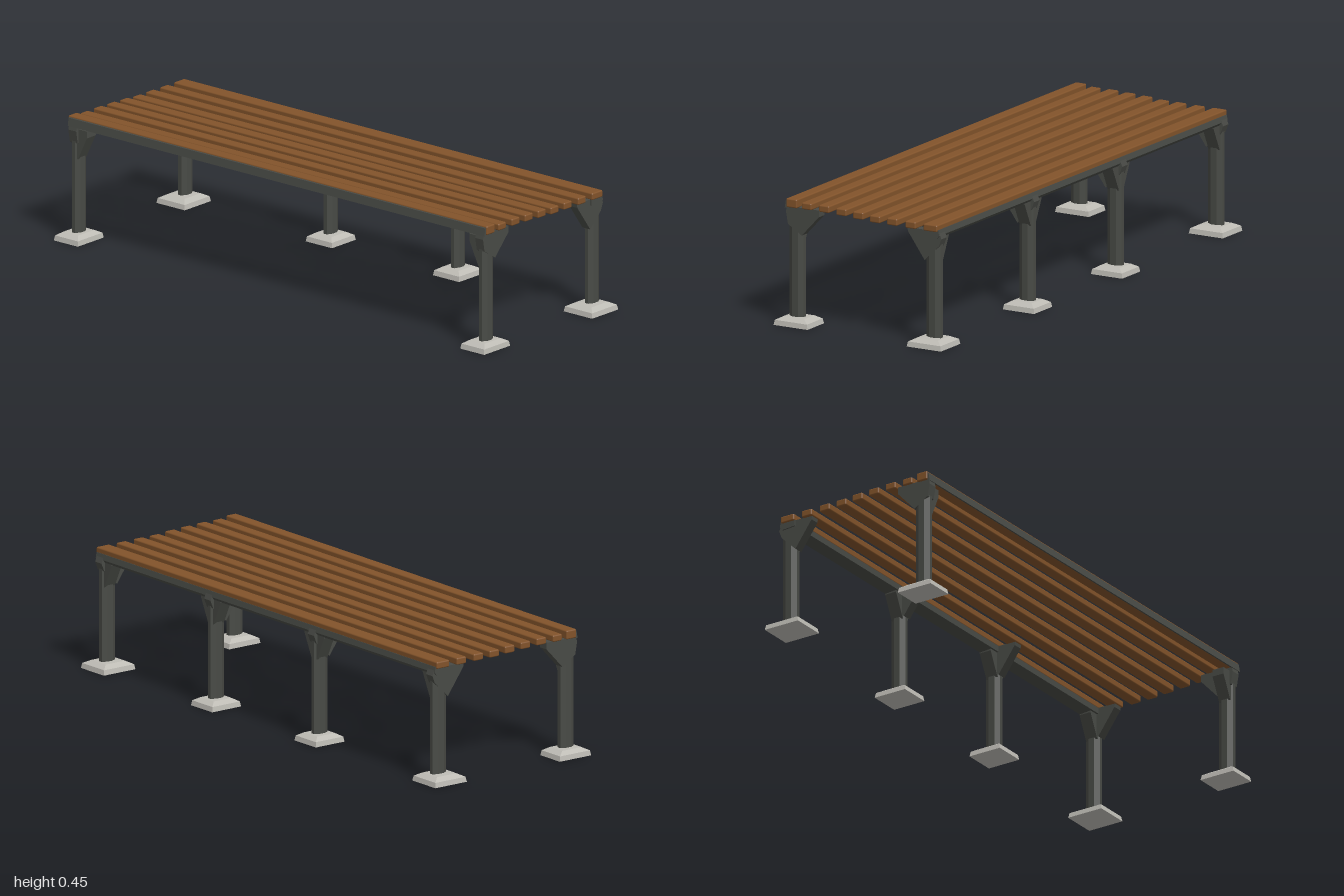
import * as THREE from 'three';
import { RoundedBoxGeometry } from 'three/addons/geometries/RoundedBoxGeometry.js';

const wood = new THREE.MeshStandardMaterial({ color: 0x82532a });
wood.name = 'brownWood';
const metal = new THREE.MeshStandardMaterial({ color: 0x484a45 });
metal.name = 'darkMetal';
const concrete = new THREE.MeshStandardMaterial({ color: 0xbdbbb4 });
concrete.name = 'paleConcrete';

// Gives every face its own flat normal
function facet(geometry) {
  const g = geometry.index ? geometry.toNonIndexed() : geometry;
  g.computeVertexNormals();
  return g;
}

function add(parent, name, geometry, material, x = 0, y = 0, z = 0) {
  const mesh = new THREE.Mesh(geometry, material);
  mesh.name = name;
  mesh.position.set(x, y, z);
  parent.add(mesh);
  return mesh;
}

// Upright plate, centred on its thickness
function plate(points, depth) {
  const shape = new THREE.Shape(points.map(([x, y]) => new THREE.Vector2(x, y)));
  return new THREE.ExtrudeGeometry(shape, { depth, bevelEnabled: false }).translate(0, 0, -depth / 2);
}

// Chamfered square footing, one unit wide
function footingGeometry() {
  const r = Math.SQRT1_2;
  const profile = [[0, 0], [r, 0], [r * 0.95, 0.018], [r * 0.62, 0.03], [0, 0.033]];
  return facet(new THREE.LatheGeometry(profile.map(([x, y]) => new THREE.Vector2(x, y)), 4, Math.PI / 4));
}

// Leg with its footing and brackets; side is the sign of x, flares lists the z directions
function buildLeg(name, side, z, footX, footZ, footW, footD, flares) {
  const leg = new THREE.Group();
  leg.name = name;
  const x = side * 0.28;

  add(leg, 'footing', footingGeometry(), concrete, footX, 0, footZ).scale.set(footW, 1, footD);

  const r = 0.5 / Math.cos(Math.PI / 8);
  const post = facet(new THREE.CylinderGeometry(r, r, 0.385, 8).rotateY(Math.PI / 8));
  add(leg, 'post', post, metal, x, 0.2175, z).scale.set(0.058, 1, 0.036);

  // Bracket reaching in under the slats
  const profile = side < 0
    ? [[-0.308, 0.36], [-0.252, 0.325], [-0.182, 0.4], [-0.182, 0.424], [-0.312, 0.424], [-0.316, 0.405]]
    : [[0.307, 0.36], [0.318, 0.388], [0.308, 0.414], [0.18, 0.414], [0.182, 0.4], [0.25, 0.305]];
  add(leg, 'crossBracket', plate(profile, 0.036), metal, 0, 0, z);

  // Gussets spreading along the bench
  for (const dir of flares) {
    const gusset = plate([[0, 0.3], [0.015, 0.3], [0.056, 0.385], [0.056, 0.41], [0, 0.41]], 0.046);
    add(leg, 'gusset', gusset, metal, x, 0, z).rotation.y = -dir * Math.PI / 2;
  }
  return leg;
}

export function createModel() {
  const bench = new THREE.Group();
  bench.name = 'slattedBench';

  // Nine slats: centre x, centre y, width, height
  const slats = [
    [-0.287, 0.438, 0.044, 0.032], [-0.226, 0.435, 0.04, 0.024], [-0.155, 0.435, 0.042, 0.025],
    [-0.085, 0.433, 0.042, 0.025], [-0.016, 0.43, 0.042, 0.026], [0.052, 0.426, 0.042, 0.025],
    [0.122, 0.426, 0.042, 0.025], [0.197, 0.425, 0.042, 0.025], [0.278, 0.425, 0.056, 0.025],
  ];
  for (const [x, y, w, h] of slats) {
    add(bench, 'slat', new RoundedBoxGeometry(w, h, 1.92, 2, 0.005), wood, x, y, 0);
  }

  // Rail under one long edge and trim strip on the other
  const rail = plate([[0.25, 0.392], [0.302, 0.388], [0.312, 0.4], [0.308, 0.42], [0.25, 0.414]], 1.91);
  add(bench, 'edgeRail', rail, metal);
  const trim = plate([[-0.317, 0.418], [-0.309, 0.42], [-0.309, 0.449], [-0.312, 0.447]], 1.91);
  add(bench, 'edgeTrim', trim, metal);

  // Two legs on one long side, four on the other
  bench.add(
    buildLeg('rightFrontLeg', -1, 0.93, -0.278, 0.925, 0.138, 0.11, [-1]),
    buildLeg('rightBackLeg', -1, -0.935, -0.278, -0.938, 0.138, 0.11, [1]),
    buildLeg('leftFrontLeg', 1, 0.932, 0.275, 0.932, 0.139, 0.13, [-1]),
    buildLeg('leftBackLeg', 1, -0.932, 0.275, -0.935, 0.139, 0.13, [1]),
    buildLeg('leftInnerFrontLeg', 1, 0.318, 0.28, 0.318, 0.127, 0.12, [1, -1]),
    buildLeg('leftInnerBackLeg', 1, -0.265, 0.28, -0.265, 0.127, 0.12, [1, -1]),
  );
  return bench;
}
